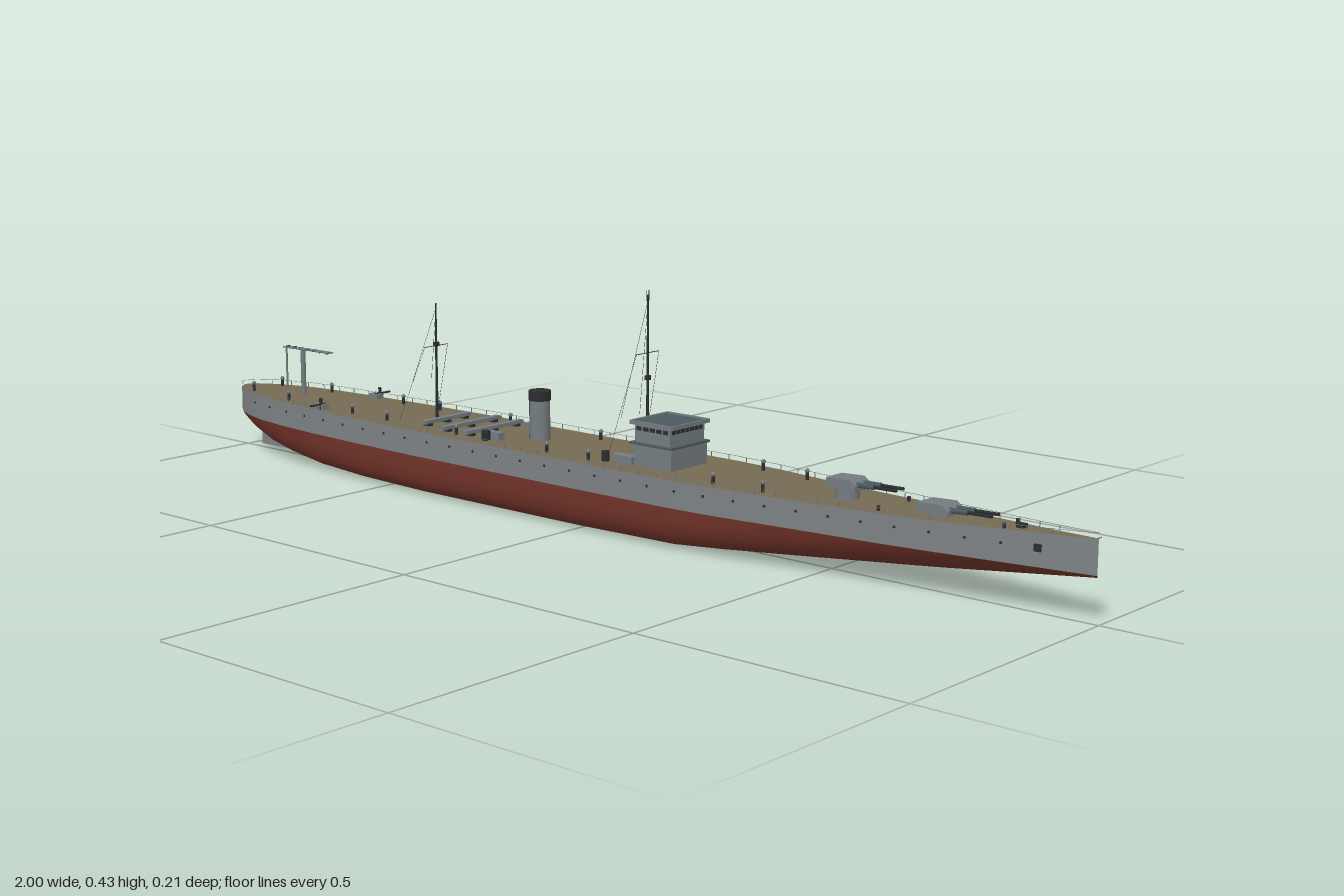
import * as THREE from 'three';

const mat = (name, color) => {
  const m = new THREE.MeshStandardMaterial({ color });
  m.name = name;
  return m;
};

// x, half beam, keel height, deck height, fullness of the bottom
const stations = [
  [-1, 0.003, 0.077, 0.127, 0.3], [-0.99, 0.02, 0.07, 0.127, 0.35], [-0.97, 0.034, 0.058, 0.127, 0.4],
  [-0.93, 0.052, 0.042, 0.127, 0.5], [-0.87, 0.069, 0.025, 0.127, 0.6], [-0.8, 0.079, 0.014, 0.127, 0.7],
  [-0.7, 0.088, 0.006, 0.127, 0.85], [-0.57, 0.095, 0.003, 0.127, 0.95], [-0.4, 0.1, 0.002, 0.127, 1],
  [0, 0.1, 0.002, 0.127, 1], [0.22, 0.1, 0.004, 0.127, 0.95], [0.32, 0.094, 0.008, 0.127, 0.8],
  [0.42, 0.082, 0.015, 0.127, 0.65], [0.52, 0.071, 0.023, 0.127, 0.5], [0.62, 0.061, 0.032, 0.128, 0.35],
  [0.72, 0.047, 0.043, 0.129, 0.2], [0.82, 0.031, 0.055, 0.131, 0.1], [0.92, 0.014, 0.067, 0.134, 0],
  [0.995, 0.001, 0.076, 0.137, 0]
];
const WATER = 0.079;
// bottom profile from waterline to keel, as fractions of beam and depth
const bilge = [[1, 1], [0.985, 0.65], [0.93, 0.35], [0.84, 0.16], [0.74, 0.06], [0.52, 0.015], [0, 0]];

// value of one station column at any x
function at(x, col) {
  let i = 0;
  while (i < stations.length - 2 && stations[i + 1][0] < x) i++;
  const a = stations[i], b = stations[i + 1];
  return THREE.MathUtils.lerp(a[col], b[col], (x - a[0]) / (b[0] - a[0]));
}

// skin joining one cross-section per station
function loft(section) {
  const pos = [], idx = [];
  let n = 0;
  stations.forEach((s, i) => {
    const pts = section(s);
    n = pts.length;
    pts.forEach(([y, z]) => pos.push(s[0], y, z));
    if (!i) return;
    for (let j = 0; j < n - 1; j++) {
      const a = (i - 1) * n + j, c = i * n + j;
      idx.push(a, a + 1, c, a + 1, c + 1, c);
    }
  });
  const g = new THREE.BufferGeometry();
  g.setAttribute('position', new THREE.Float32BufferAttribute(pos, 3));
  g.setIndex(idx);
  g.computeVertexNormals();
  return g;
}

export function createModel() {
  const ship = new THREE.Group();
  ship.name = 'warship';
  const grey = mat('hull grey', 0x7d8285), red = mat('bottom red', 0x74352a), wood = mat('deck tan', 0x766a52);
  const steel = mat('superstructure grey', 0x757d80), slate = mat('roof slate', 0x4c5a5f), dark = mat('dark metal', 0x2b2e30);

  const add = (name, geo, m, x = 0, y = 0, z = 0, parent = ship) => {
    const mesh = new THREE.Mesh(geo, m);
    mesh.name = name;
    mesh.position.set(x, y, z);
    parent.add(mesh);
    return mesh;
  };
  const box = (name, m, w, h, d, x, y, z, parent) =>
    add(name, new THREE.BoxGeometry(w, h, d), m, x, y + h / 2, z, parent);
  const post = (name, m, r, h, x, y, z, parent, sides = 8, r2 = r) =>
    add(name, new THREE.CylinderGeometry(r2, r, h, sides), m, x, y + h / 2, z, parent);
  const rod = (name, m, r, a, b, parent = ship) => {
    const p = new THREE.Vector3(...a), d = new THREE.Vector3(...b).sub(p);
    const mesh = add(name, new THREE.CylinderGeometry(r, r, d.length(), 6), m, 0, 0, 0, parent);
    mesh.position.copy(p).addScaledVector(d, 0.5);
    mesh.quaternion.setFromUnitVectors(new THREE.Vector3(0, 1, 0), d.normalize());
    return mesh;
  };

  // hull
  add('hullBottom', loft(([, w, keel, , full]) => {
    const side = bilge.map(([fw, fh], i) => {
      const lin = 1 - i / (bilge.length - 1);
      return [keel + (WATER - keel) * THREE.MathUtils.lerp(lin, fh, full),
        w * THREE.MathUtils.lerp(Math.pow(lin, 0.8), fw, full)];
    });
    return [...side, ...side.slice(0, -1).reverse().map(([y, z]) => [y, -z])];
  }), red);
  add('leftless', new THREE.BufferGeometry(), grey).removeFromParent();
  add('hullSideFront', loft(([, w, , top]) => [[top, w], [WATER, w]]), grey);
  add('hullSideBack', loft(([, w, , top]) => [[WATER, -w], [top, -w]]), grey);
  add('deck', loft(([, w, , top]) => [[top, -w], [top, w]]), wood);
  box('rudder', grey, 0.07, 0.045, 0.006, -0.915, 0.01, 0);

  // portholes, railing posts, rails, anchors and bilge keels on both sides
  for (const s of [1, -1]) {
    for (let x = -0.9; x < 0.9; x += 0.06) {
      const slope = Math.atan2(at(x + 0.01, 1) - at(x - 0.01, 1), 0.02);
      const p = add('porthole', new THREE.CylinderGeometry(0.0025, 0.0025, 0.002, 8), dark, x, 0.11, s * at(x, 1));
      p.rotation.set(Math.PI / 2, 0, s * slope);
    }
    for (let x = -0.96; x < 0.96; x += 0.04)
      post('railPost', steel, 0.0008, 0.009, x, at(x, 3), s * (at(x, 1) - 0.002), ship, 5);
    stations.slice(1).forEach((b, i) => {
      const a = stations[i];
      rod('railWire', steel, 0.0004, [a[0], a[3] + 0.009, s * a[1] * 0.98], [b[0], b[3] + 0.009, s * b[1] * 0.98]);
    });
    box('anchor', dark, 0.012, 0.012, 0.004, 0.9, 0.104, s * 0.018);
    // boat davits
    post('davitPost', dark, 0.003, 0.022, -0.68, 0.127, s * 0.078);
    rod('davitArm', dark, 0.002, [-0.68, 0.137, s * 0.065], [-0.68, 0.137, s * 0.105]);
    box('davitBase', steel, 0.025, 0.01, 0.016, -0.685, 0.127, s * 0.072);
    // deck guns and lockers
    box('locker', steel, 0.035, 0.014, 0.016, -0.23, 0.127, s * 0.052);
    post('winch', dark, 0.008, 0.018, -0.235, 0.127, s * 0.07);
    box('bridgeLocker', steel, 0.045, 0.014, 0.018, 0.08, 0.127, s * 0.042);
    post('bridgeWinch', dark, 0.007, 0.018, 0.045, 0.127, s * 0.055);
    // ventilators and bollards
    for (const x of [-0.93, -0.8, -0.6, -0.5, -0.31, -0.08, 0.02, 0.3, 0.4]) {
      post('ventilator', dark, 0.003, 0.016, x, 0.127, s * at(x, 1) * 0.72);
      add('ventilatorCap', new THREE.SphereGeometry(0.0042, 8, 6), steel, x, 0.143, s * at(x, 1) * 0.72);
    }
    for (const x of [0.62, 0.84]) post('bollard', dark, 0.003, 0.008, x, at(x, 3), s * at(x, 1) * 0.7);
  }

  // bridge house
  const bridge = new THREE.Group();
  bridge.name = 'bridge';
  ship.add(bridge);
  box('lowerHouse', steel, 0.085, 0.04, 0.096, 0.148, 0.127, 0, bridge);
  box('ledge', slate, 0.096, 0.004, 0.104, 0.146, 0.165, 0, bridge);
  box('upperHouse', steel, 0.08, 0.034, 0.092, 0.146, 0.168, 0, bridge);
  box('roof', slate, 0.094, 0.004, 0.1, 0.146, 0.2, 0, bridge);
  for (const s of [1, -1]) {
    box('roofRimSide', steel, 0.096, 0.007, 0.003, 0.146, 0.2, s * 0.05, bridge);
    box('roofRimEnd', steel, 0.003, 0.007, 0.1, 0.146 + s * 0.047, 0.2, 0, bridge);
    for (let i = 0; i < 5; i++) box('sideWindow', dark, 0.011, 0.007, 0.002, 0.116 + i * 0.015, 0.19, s * 0.046, bridge);
  }
  for (let i = -3; i <= 3; i++) box('frontWindow', dark, 0.002, 0.007, 0.009, 0.186, 0.19, i * 0.012, bridge);

  // funnel
  post('funnel', steel, 0.019, 0.075, -0.165, 0.127, 0, ship, 20);
  post('funnelCap', dark, 0.0205, 0.018, -0.165, 0.201, 0, ship, 20);
  rod('steamPipe', dark, 0.003, [-0.188, 0.127, 0], [-0.188, 0.21, 0]);

  // masts with yards, lookout and thin rigging
  for (const [x, top, r] of [[-0.435, 0.352, 0.003], [0.095, 0.42, 0.003]]) {
    post('mast', dark, r, top - 0.127, x, 0.127, 0, ship, 8, 0.0015);
    const yard = top - 0.07 > 0.3 ? 0.365 : 0.318;
    rod('yard', dark, 0.0007, [x, yard - 0.047, -0.03], [x, yard - 0.047, 0.03]);
    box('lookout', dark, 0.007, 0.008, 0.01, x, 0.27, 0);
    for (const s of [1, -1]) {
      rod('yardStay', dark, 0.0003, [x, yard - 0.047, s * 0.03], [x - 0.05, 0.13, s * 0.05]);
      rod('mastStay', dark, 0.0003, [x, top - 0.01, 0], [x - 0.04, 0.2, s * 0.025]);
    }
  }
  for (const s of [1, -1]) rod('mastTip', dark, 0.0007, [0.095, 0.41, s * 0.003], [0.095, 0.428, s * 0.003]);

  // crosswise beams amidships
  for (const [x, len] of [[-0.41, 0.12], [-0.345, 0.15], [-0.285, 0.15]]) {
    box('boatBeam', steel, 0.012, 0.007, len, x, 0.131, 0);
    for (const z of [-0.4, 0, 0.4]) box('beamFoot', dark, 0.016, 0.006, 0.01, x, 0.126, z * len);
  }

  // stern crane
  post('cranePost', steel, 0.005, 0.095, -0.82, 0.127, 0);
  post('craneRearPost', steel, 0.002, 0.09, -0.87, 0.127, 0);
  for (const s of [1, -1]) rod('craneArm', steel, 0.0018, [-0.875, 0.22, s * 0.004], [-0.735, 0.222, s * 0.004]);
  for (let x = -0.865; x < -0.74; x += 0.02) box('craneRung', dark, 0.003, 0.004, 0.01, x, 0.219, 0);

  // gun turrets: pedestal, sloped house and twin barrels
  for (const [x, y] of [[0.528, 0.145], [0.708, 0.132]]) {
    const turret = new THREE.Group();
    turret.name = 'gunTurret';
    turret.position.set(x, y, 0);
    ship.add(turret);
    post('pedestal', steel, 0.021, y - 0.125, 0, 0.125 - y, 0, turret, 16);
    const house = new THREE.Shape([[-0.028, 0], [0.03, 0], [0.03, 0.009], [0.018, 0.018], [-0.028, 0.016]]
      .map(p => new THREE.Vector2(...p)));
    add('turretHouse', new THREE.ExtrudeGeometry(house, { depth: 0.044, bevelEnabled: false }), steel, 0, 0, -0.022, turret);
    for (const s of [1, -1]) {
      rod('barrelSleeve', slate, 0.0045, [0.025, 0.009, s * 0.01], [0.06, 0.01, s * 0.01], turret);
      rod('barrel', dark, 0.0028, [0.055, 0.01, s * 0.01], [0.104, 0.011, s * 0.01], turret);
    }
  }

  // bow fittings
  box('capstan', dark, 0.014, 0.008, 0.012, 0.86, 0.131, 0);
  rod('jackstaff', steel, 0.001, [0.985, 0.134, 0], [0.999, 0.14, 0]);
  return ship;
}
